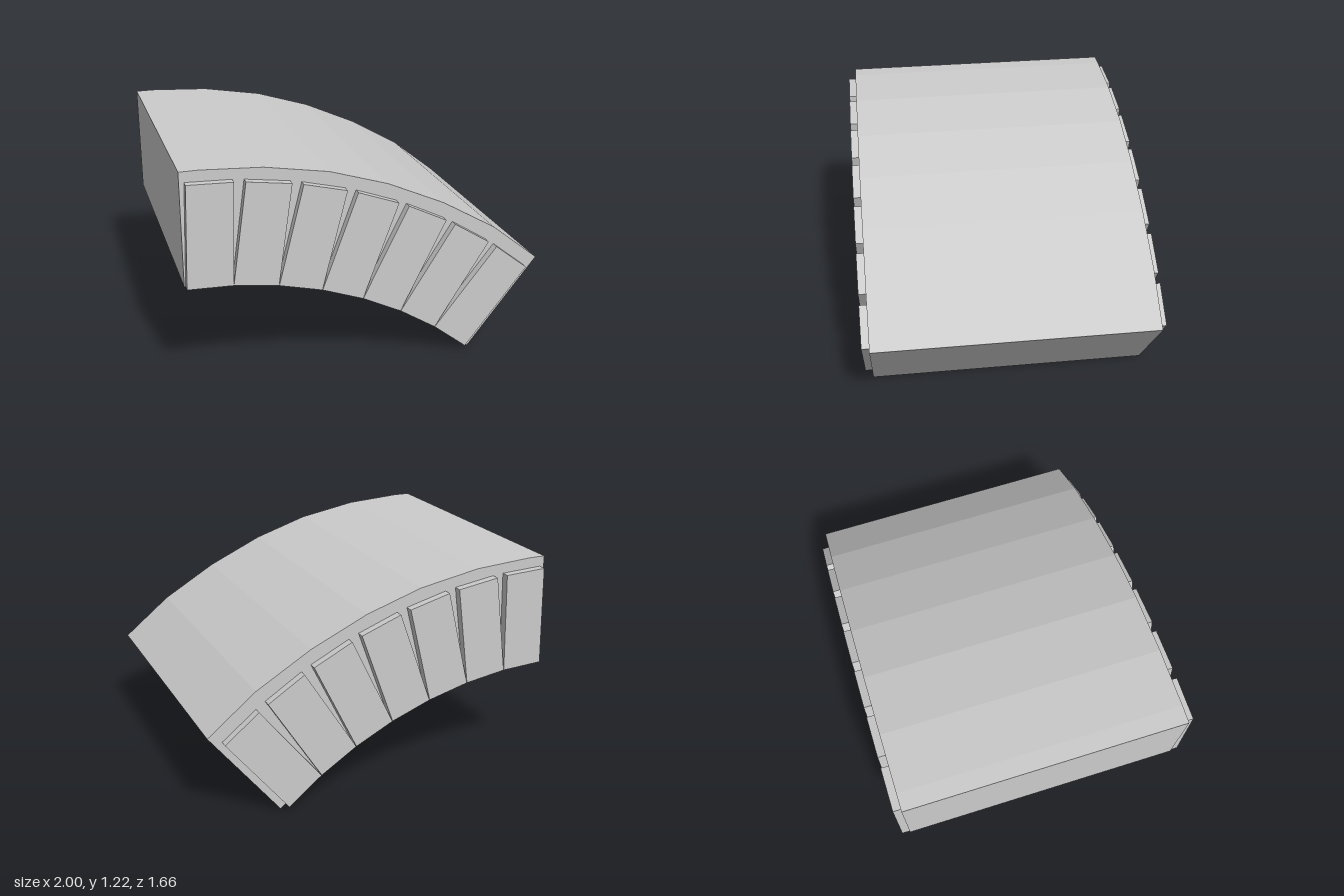
import * as THREE from 'three';

const material = new THREE.MeshStandardMaterial({ color: 0xcccccc, flatShading: true });

export function createModel() {
  const group = new THREE.Group();
  group.name = 'archSegment';

  // Arch body: faceted outer curve, then the inner curve back to the start
  const outer = [[-1, 1.22], [-0.9, 1.221], [-0.57, 1.203], [-0.22, 1.143], [0.1, 1.043],
    [0.42, 0.9], [0.73, 0.72], [1, 0.505]];
  const inner = [[0.605, 0], [0.38, 0.18], [0.17, 0.31], [-0.05, 0.412], [-0.277, 0.496],
    [-0.51, 0.557], [-0.75, 0.588], [-1, 0.597]];
  const profile = new THREE.Shape([...outer, ...inner].map(([x, y]) => new THREE.Vector2(x, y)));
  const halfDepth = 0.787;
  const bodyGeometry = new THREE.ExtrudeGeometry(profile, { depth: 2 * halfDepth, bevelEnabled: false });
  bodyGeometry.translate(0, 0, -halfDepth);
  const body = new THREE.Mesh(bodyGeometry, material);
  body.name = 'archBody';
  group.add(body);

  // Facing stones: equal blocks fanned about the arch centre on both faces
  const centre = new THREE.Vector2(-0.953, -1.717);
  const radius = 2.312, height = 0.566, width = 0.242, thickness = 0.044;
  const stoneGeometry = new THREE.BoxGeometry(width, height, thickness);
  for (const side of [1, -1]) {
    const row = new THREE.Group();
    row.name = side > 0 ? 'frontStones' : 'backStones';
    for (let i = 0; i < 7; i++) {
      const angle = THREE.MathUtils.degToRad(2 + 6.03 * i);
      const r = radius + height / 2;
      const stone = new THREE.Mesh(stoneGeometry, material);
      stone.name = 'facingStone';
      stone.position.set(
        centre.x + r * Math.sin(angle),
        centre.y + r * Math.cos(angle),
        side * (halfDepth + thickness / 2));
      stone.rotation.z = -angle;
      row.add(stone);
    }
    group.add(row);
  }
  return group;
}
